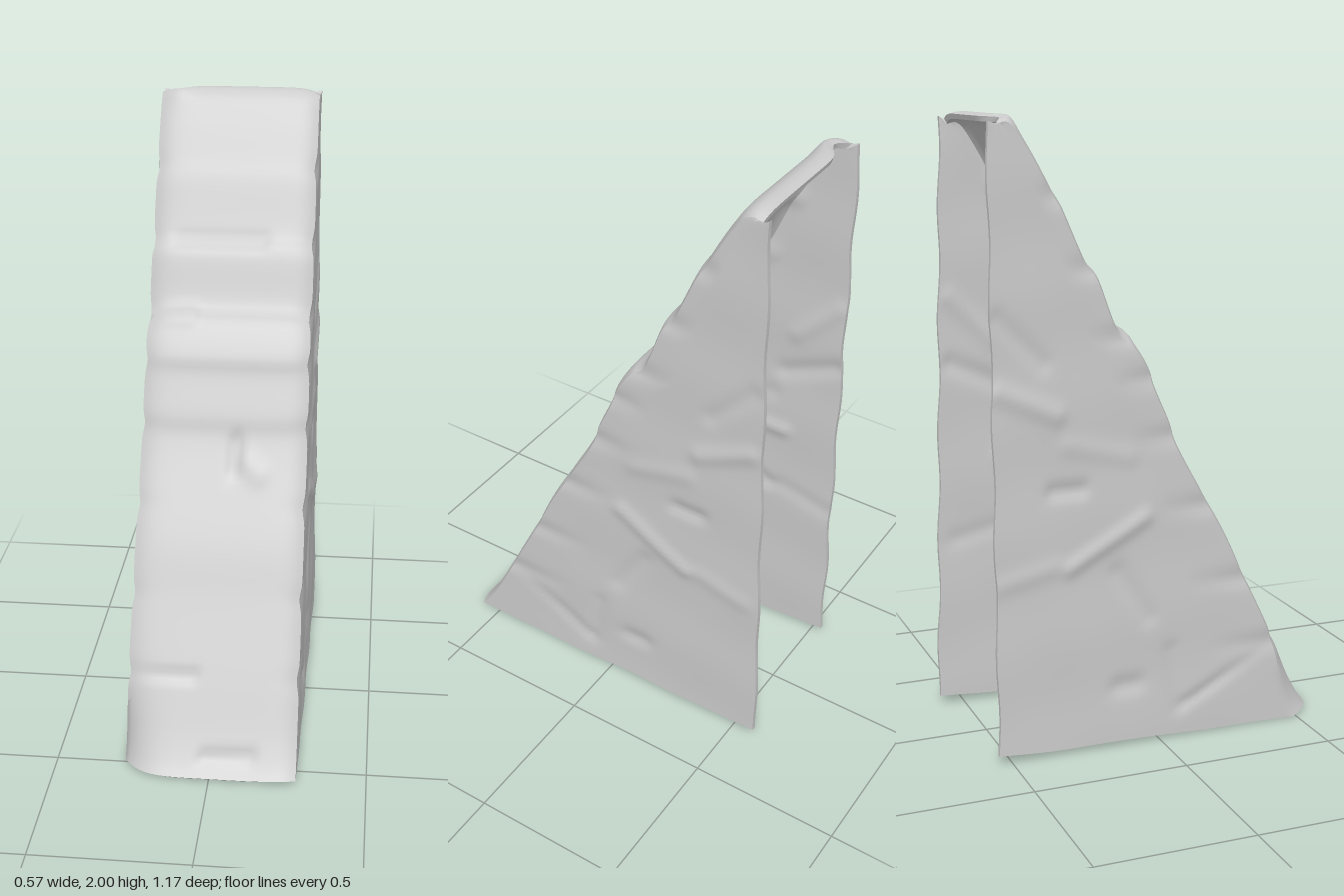
import * as THREE from 'three';
import { toCreasedNormals } from 'three/addons/utils/BufferGeometryUtils.js';

const ROWS = 120, SIDE = 44, PANEL = 36, WALL = 0.016;
const mix = (a, b, t) => a + (b - a) * t;
const bump = (d, w) => Math.exp(-(d * d) / (w * w));

// Stepped front slope as [z, y], from the toe to the rolled-over top edge
const SLOPE = [
  [0.585, 0.01], [0.565, 0.035], [0.52, 0.11], [0.44, 0.27], [0.425, 0.3], [0.32, 0.51], [0.25, 0.66],
  [0.075, 0.98], [0.06, 1.03], [0.0, 1.17], [-0.01, 1.21], [-0.08, 1.32], [-0.115, 1.345],
  [-0.19, 1.525], [-0.22, 1.56], [-0.305, 1.745], [-0.33, 1.785], [-0.4, 1.91], [-0.45, 1.98],
  [-0.49, 1.998], [-0.525, 1.99],
];
const SEAMS = [0.29, 0.52, 0.78, 1.01, 1.2, 1.335, 1.55, 1.77];

// Raised or sunken streak between two points, fading away from the line
function streak(u, v, [u0, v0, u1, v1, width, height]) {
  const du = u1 - u0, dv = v1 - v0;
  const t = THREE.MathUtils.clamp(((u - u0) * du + (v - v0) * dv) / (du * du + dv * dv), 0, 1);
  return height * bump(Math.hypot(u - u0 - du * t, v - v0 - dv * t), width);
}

// Streaks on the side walls, as z, y to z, y, width, height
const SIDE_STREAKS = [
  [0.4, 0.27, 0.09, 0.11, 0.02, -0.008], [0.07, 0.1, 0.04, 0.3, 0.025, -0.006],
  [-0.05, 0.75, -0.3, 0.61, 0.025, 0.01], [-0.04, 0.42, -0.14, 0.58, 0.03, -0.007],
  [-0.26, 0.86, -0.35, 0.86, 0.025, -0.01], [-0.08, 0.2, -0.14, 0.2, 0.03, -0.009],
  [-0.34, 1.1, -0.52, 1.18, 0.03, 0.009], [-0.1, 0.95, -0.3, 1.0, 0.03, 0.005],
  [-0.38, 1.26, -0.52, 1.4, 0.03, -0.006], [-0.35, 0.62, -0.52, 0.58, 0.03, 0.005],
];
// Streaks on the sloped front, as x, y to x, y, width, height
const FRONT_STREAKS = [
  [-0.26, 0.29, -0.06, 0.29, 0.015, -0.01], [-0.22, 1.33, -0.12, 1.33, 0.02, 0.012],
  [-0.18, 1.55, 0.1, 1.55, 0.02, -0.008], [0.04, 0.88, 0.04, 0.97, 0.02, -0.012],
  [0.08, 0.9, 0.12, 0.87, 0.03, 0.008], [-0.02, 0.065, 0.13, 0.07, 0.018, -0.012],
];
const sum = (list, u, v) => list.reduce((s, k) => s + streak(u, v, k), 0);

// Point of the outer (inset = 0) or inner (inset = WALL) skin
function skinPoint(row, col, p, n, inset) {
  const onPanel = col >= SIDE && col <= SIDE + PANEL;
  const sign = onPanel ? 0 : col < SIDE ? -1 : 1;
  const across = onPanel ? ((col - SIDE) / PANEL) * 2 - 1 : sign;
  const scallop = SEAMS.reduce((s, y) => s - 0.008 * bump(p.y - y, 0.03), 0);

  // Front panel: soft edges, a rounded right toe and a dipped top edge
  const half = (across < 0 ? mix(0.28, 0.258, p.y / 2) : mix(0.277, 0.264, p.y / 2)) - inset;
  const fx = across * (half + scallop);
  const sag = 0.02 * Math.abs(across) ** 8 + inset;
  const dent = onPanel ? sum(FRONT_STREAKS, fx, p.y) * (1 - across ** 4) : 0;
  const toe = 0.08 * Math.max(0, -across) ** 5 * bump(p.y, 0.2);
  const dip = 0.04 * bump(fx + 0.2, 0.05) * bump(row / ROWS - 1, 0.03);
  const fz = p.x + n.x * (dent - sag) - toe + dip;
  const fy = Math.max(0, p.y + n.y * (dent - sag) + 0.012 * Math.abs(across) ** 4 * bump(p.y, 0.1) * (across < 0 ? 0.3 : 1));
  if (onPanel) return [fx, fy, fz];

  // Side wall: runs from the panel edge to the open back edge
  const t = (sign < 0 ? SIDE - col : col - SIDE - PANEL) / SIDE;
  const by = 0.025 + 1.955 * (row / ROWS);
  const bz = (sign < 0 ? -0.54 : mix(-0.585, -0.54, by / 2)) + 0.004 * Math.sin(by * 17 + sign);
  const y = mix(fy, by, t) + (row === 0 ? 0.004 * Math.sin(t * 14) * t : 0), z = mix(fz, bz, t);
  const fade = Math.min(1, t * 4);
  const relief = sum(SIDE_STREAKS, z, y) + 0.003 * Math.sin(y * 13 + z * 8 + sign) * Math.sin(z * 11 - y * 4);
  const base = sign < 0 ? mix(0.28, 0.258, y / 2) : mix(0.277, 0.264, y / 2);
  const x = mix(half + scallop, base - inset, fade) + relief * fade + 0.004 * t;
  return [sign * x, y, z];
}

// Thin wall bent round three sides: open at the back and underneath
function shellGeometry() {
  const curve = new THREE.CatmullRomCurve3(SLOPE.map(([z, y]) => new THREE.Vector3(z, y, 0)), false, 'centripetal');
  const cols = SIDE * 2 + PANEL + 1, ring = cols * 2;
  const positions = [], index = [];
  for (let r = 0; r <= ROWS; r++) {
    const p = curve.getPointAt(r / ROWS), tan = curve.getTangentAt(r / ROWS);
    const n = new THREE.Vector2(tan.y, -tan.x);
    for (let c = 0; c < cols; c++) positions.push(...skinPoint(r, c, p, n, 0));
    for (let c = cols - 1; c >= 0; c--) positions.push(...skinPoint(r, c, p, n, WALL));
  }
  const quad = (a, b, c, d) => index.push(a, b, c, a, c, d);
  for (let r = 0; r < ROWS; r++) {
    for (let k = 0; k < ring; k++) {
      const a = r * ring + k, b = r * ring + (k + 1) % ring;
      quad(a, b, b + ring, a + ring);
    }
  }
  // Bottom and top rims joining the two skins
  for (let k = 0; k < cols - 1; k++) {
    const m = ring - 1 - k, top = ROWS * ring;
    quad(k, m, m - 1, k + 1);
    quad(top + k, top + k + 1, top + m - 1, top + m);
  }
  const geometry = new THREE.BufferGeometry();
  geometry.setAttribute('position', new THREE.Float32BufferAttribute(positions, 3));
  geometry.setIndex(index);
  return toCreasedNormals(geometry, 0.8);
}

export function createModel() {
  const model = new THREE.Group();
  model.name = 'hollowWedge';
  const material = new THREE.MeshStandardMaterial({ color: 0xcccccc, side: THREE.DoubleSide });
  const shell = new THREE.Mesh(shellGeometry(), material);
  shell.name = 'wedgeShell';
  model.add(shell);
  return model;
}
